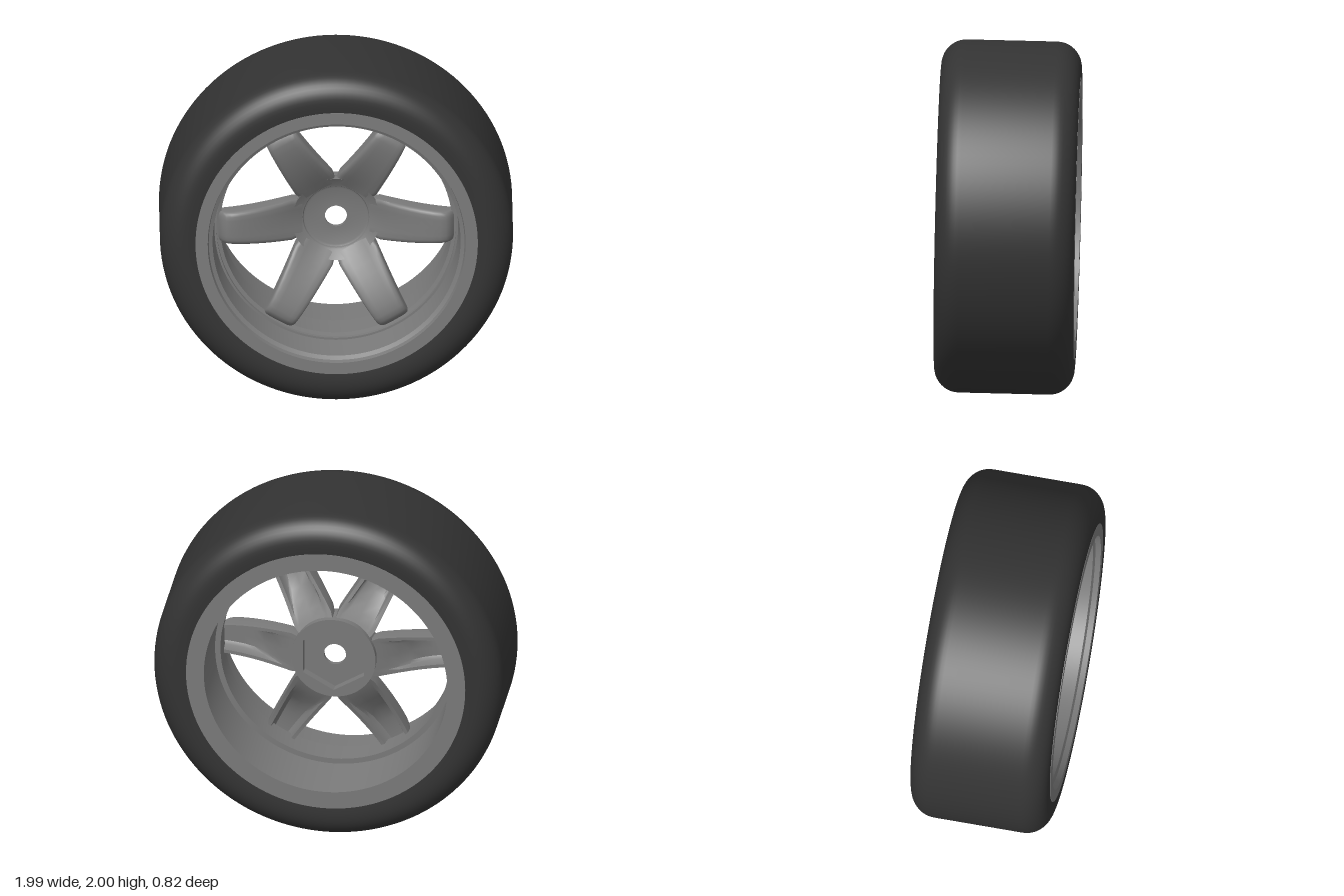
import * as THREE from 'three';
import { toCreasedNormals } from 'three/addons/utils/BufferGeometryUtils.js';

const rubber = new THREE.MeshStandardMaterial({ color: 0x333333 });
rubber.name = 'darkRubber';
const metal = new THREE.MeshStandardMaterial({ color: 0x7a7a7a });
metal.name = 'greyRim';

function addMesh(parent, geometry, material, name) {
  const mesh = new THREE.Mesh(geometry, material);
  mesh.name = name;
  parent.add(mesh);
  return mesh;
}

// Turns a [radius, z] profile around the z axis
function turned(profile, segments = 96) {
  const points = profile.map(([r, z]) => new THREE.Vector2(r, z));
  const geometry = new THREE.LatheGeometry(points, segments).rotateX(Math.PI / 2);
  return toCreasedNormals(geometry, 0.55);
}

// Height of the dished spoke front at a given radius
const DISH = [[0.19, 0], [0.25, 0.04], [0.3, 0.072], [0.36, 0.105], [0.42, 0.132], [0.48, 0.154],
  [0.54, 0.17], [0.59, 0.178], [0.62, 0.176], [0.64, 0.165], [0.655, 0.145], [0.672, 0.11]];
function dishHeight(r) {
  for (let i = 1; i < DISH.length; i++) {
    const [r0, z0] = DISH[i - 1], [r1, z1] = DISH[i];
    if (r <= r1) return z0 + (z1 - z0) * (r - r0) / (r1 - r0);
  }
  return DISH[DISH.length - 1][1];
}

// One spoke along +x: rounded front edges, channel hollowed in the back
function spokeGeometry() {
  const positions = [], index = [];
  let count = 0;
  DISH.forEach(([x], row) => {
    const t = (x - 0.19) / 0.48;
    const w = x < 0.217 ? x * 0.577 : 0.125 - 0.035 * (x - 0.217) / 0.45;
    const back = -0.075 + 0.14 * Math.sin(Math.min(t, 1) * Math.PI / 2);
    const groove = 0.07 * THREE.MathUtils.smoothstep(t, 0.15, 0.7);
    const front = (y, drop) => [y, dishHeight(Math.hypot(x, y)) - drop];
    const half = [front(0, 0), front(w * 0.5, 0), front(w - 0.025, 0.001), front(w - 0.01, 0.006),
      front(w - 0.002, 0.015), front(w, 0.027), [w - 0.004, back], [w - 0.024, back],
      [w - 0.034, back + groove * 0.75], [w - 0.05, back + groove], [0, back + groove]];
    const mirrored = half.slice(1, -1).reverse().map(([y, z]) => [-y, z]);
    const loop = [...half, ...mirrored];
    count = loop.length;
    loop.forEach(([y, z]) => positions.push(x, y, z));
    if (row === 0) return;
    for (let j = 0; j < count; j++) {
      const k = (j + 1) % count;
      const a = (row - 1) * count + j, c = (row - 1) * count + k;
      const b = row * count + j, d = row * count + k;
      index.push(a, b, c, c, b, d);
    }
  });
  const geometry = new THREE.BufferGeometry();
  geometry.setAttribute('position', new THREE.Float32BufferAttribute(positions, 3));
  geometry.setIndex(index);
  return toCreasedNormals(geometry, 0.7);
}

export function createModel() {
  const model = new THREE.Group();
  model.name = 'wheel';
  const wheel = new THREE.Group();
  wheel.name = 'tiltedWheel';
  wheel.position.y = 1;
  wheel.rotation.x = -0.02;
  model.add(wheel);

  // Tire: straight tread with rounded shoulders
  const side = [[0.797, 0.392], [0.83, 0.395]];
  for (let i = 0; i <= 10; i++) {
    const a = (i / 10) * Math.PI / 2;
    side.push([0.857 + 0.14 * Math.sin(a), 0.255 + 0.14 * Math.cos(a)]);
  }
  const tireProfile = [...side.map(([r, z]) => [r, -z]), ...side.slice().reverse()];
  addMesh(wheel, turned(tireProfile, 128), rubber, 'tire');

  // Rim: flat lips, tapered barrels and the inner ring that carries the spokes
  const rimProfile = [
    [0.797, -0.395], [0.797, 0.395], [0.728, 0.395], [0.722, 0.365], [0.7, 0.355],
    [0.688, 0.15], [0.676, 0.15], [0.676, 0.125], [0.655, 0.12], [0.652, -0.05],
    [0.683, -0.05], [0.695, -0.395], [0.797, -0.395],
  ];
  addMesh(wheel, turned(rimProfile, 128), metal, 'rim');

  // Hub: front disc with a shallow round recess and axle hole
  const hubProfile = [
    [0.063, -0.04], [0.238, -0.04], [0.25, 0.02], [0.248, 0.038], [0.198, 0.004],
    [0.188, 0], [0.183, -0.01], [0.172, -0.015], [0.063, -0.015], [0.063, -0.04],
  ];
  addMesh(wheel, turned(hubProfile, 64), metal, 'hub');

  // Hub back: round boss with a hexagonal pocket
  const boss = new THREE.Shape().absarc(0, 0, 0.24, 0, Math.PI * 2, false);
  const pocket = new THREE.Path();
  for (let i = 0; i <= 6; i++) {
    const a = Math.PI / 6 - i * Math.PI / 3;
    const x = 0.2 * Math.cos(a), y = 0.2 * Math.sin(a);
    if (i === 0) pocket.moveTo(x, y); else pocket.lineTo(x, y);
  }
  boss.holes.push(pocket);
  const bossGeometry = new THREE.ExtrudeGeometry(boss, { depth: 0.055, bevelEnabled: false, curveSegments: 48 });
  bossGeometry.translate(0, 0, -0.093);
  addMesh(wheel, toCreasedNormals(bossGeometry, 0.5), metal, 'hexSocket');

  // Six spokes
  const spoke = spokeGeometry();
  for (let i = 0; i < 6; i++) {
    addMesh(wheel, spoke, metal, 'spoke').rotation.z = i * Math.PI / 3;
  }
  return model;
}
